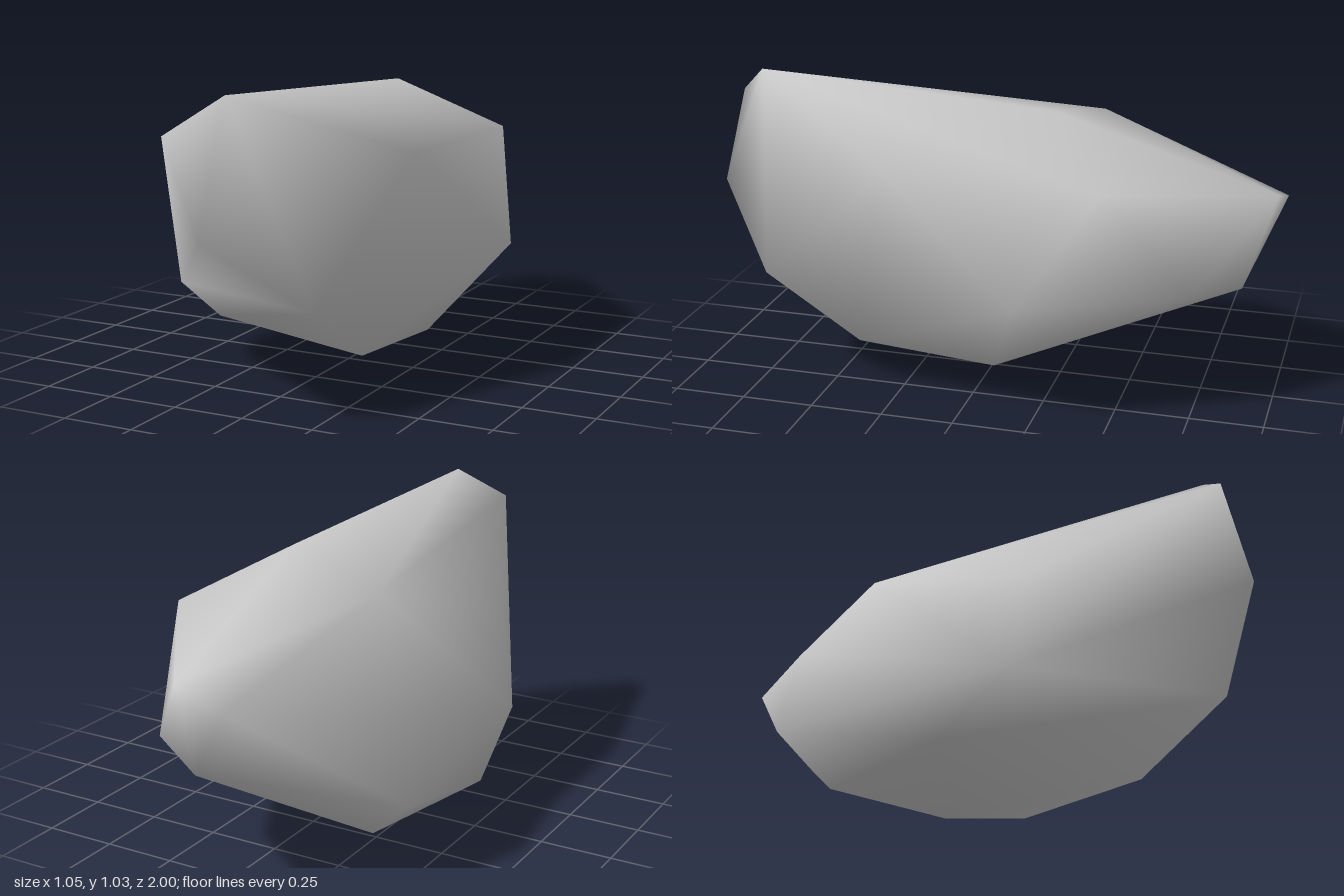
import * as THREE from 'three';
import { ConvexGeometry } from 'three/addons/geometries/ConvexGeometry.js';
import { mergeVertices } from 'three/addons/utils/BufferGeometryUtils.js';

// Corners that meet at the two shallow hollows in the flanks
const leftTip = [0.525, 0.43, -0.21];
const leftChin = [0.26, 0.37, 0.75];
const rightShoulder = [-0.4, 0.65, 0.4];
const rightHip = [-0.48, 0.585, -0.5];

// Turn the edge a-b to the other diagonal of its two triangles, making a hollow
function turnEdge(geometry, a, b) {
  const pos = geometry.attributes.position;
  const index = Array.from(geometry.index.array);
  const find = (p) => {
    const corner = new THREE.Vector3(...p);
    const v = new THREE.Vector3();
    for (let i = 0; i < pos.count; i++) {
      if (v.fromBufferAttribute(pos, i).distanceTo(corner) < 1e-3) return i;
    }
    return -1;
  };
  // start of the triangle with directed edge from-to, and its third corner
  const triangle = (from, to) => {
    for (let i = 0; i < index.length; i++) {
      const t = i - (i % 3);
      if (index[i] === from && index[t + ((i + 1) % 3)] === to) return [t, index[t + ((i + 2) % 3)]];
    }
    return null;
  };
  const ia = find(a), ib = find(b);
  const one = triangle(ia, ib), two = triangle(ib, ia);
  if (!one || !two) return;
  index.splice(one[0], 3, ia, two[1], one[1]);
  index.splice(two[0], 3, two[1], ib, one[1]);
  geometry.setIndex(index);
}

export function createModel() {
  const stone = new THREE.MeshStandardMaterial({ color: 0xc6c6c6 });
  stone.name = 'stone grey';

  // Corners of the boulder
  const corners = [
    // blunt front end
    [0.01, 1.035, 0.84], [-0.13, 0.92, 0.975], [0.01, 0.615, 1.0], leftChin,
    // crown
    [0.08, 0.98, -0.23], [-0.3, 0.895, -0.33], [0.39, 0.8, -0.46], [0.375, 0.805, 0.27],
    // flanks
    leftTip, rightShoulder, rightHip, [-0.53, 0.29, -0.54], [-0.46, 0.31, 0.37],
    // underside
    [0.255, 0.15, 0.41], [0.27, 0.12, -0.08], [-0.15, 0, -0.11], [-0.47, 0.125, 0.1], [-0.35, 0.12, -0.45],
    // tapered back end
    [0.03, 0.735, -0.985], [-0.15, 0.68, -1.0], [0.04, 0.4, -0.88], [0.27, 0.44, -0.75],
  ].map((p) => new THREE.Vector3(...p));

  // Wrap the corners in a skin and share vertices for smooth shading
  let skin = new ConvexGeometry(corners);
  skin.deleteAttribute('normal');
  skin = mergeVertices(skin, 1e-4);
  turnEdge(skin, leftTip, leftChin);
  turnEdge(skin, rightShoulder, rightHip);
  skin.computeVertexNormals();

  const boulder = new THREE.Mesh(skin, stone);
  boulder.name = 'boulder';

  const model = new THREE.Group();
  model.name = 'rock';
  model.add(boulder);
  return model;
}
